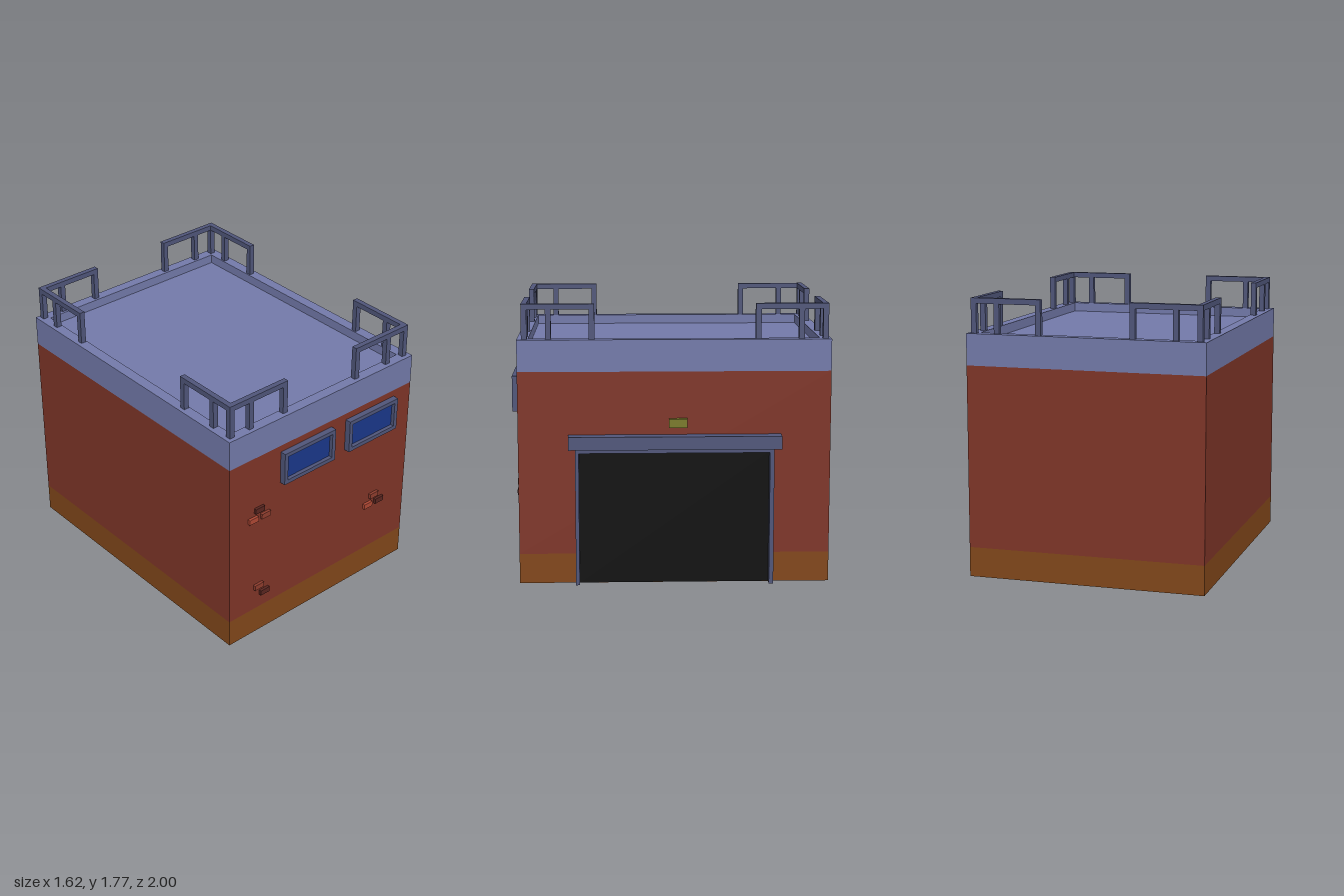
import * as THREE from 'three';

const mat = (color) => new THREE.MeshStandardMaterial({ color });
const M = {
  wall: mat(0x7f3528), base: mat(0x82471a), roof: mat(0x737aaa), trim: mat(0x50567a),
  glass: mat(0x1a378a), door: mat(0x0e0e0e), lamp: mat(0x7b7b2a),
  brickBright: mat(0xb04834), brickMid: mat(0x8f3d2e), brickDark: mat(0x5a2620),
};

// Box given by its minimum and maximum corners
function box(parent, name, material, [x0, y0, z0], [x1, y1, z1]) {
  const mesh = new THREE.Mesh(new THREE.BoxGeometry(x1 - x0, y1 - y0, z1 - z0), material);
  mesh.position.set((x0 + x1) / 2, (y0 + y1) / 2, (z0 + z1) / 2);
  mesh.name = name;
  parent.add(mesh);
  return mesh;
}

function rect(Type, x0, y0, x1, y1) {
  return new Type([[x0, y0], [x1, y0], [x1, y1], [x0, y1]].map((p) => new THREE.Vector2(...p)));
}

// Rectangular frame with an opening, extruded along +z
function frame(parent, name, material, outer, inner, depth) {
  const shape = rect(THREE.Shape, ...outer);
  shape.holes.push(rect(THREE.Path, ...inner));
  const mesh = new THREE.Mesh(new THREE.ExtrudeGeometry(shape, { depth, bevelEnabled: false }), material);
  mesh.name = name;
  parent.add(mesh);
  return mesh;
}

function group(parent, name) {
  const g = new THREE.Group();
  g.name = name;
  parent.add(g);
  return g;
}

export function createModel() {
  const model = new THREE.Group();
  model.name = 'garage';
  const X0 = -0.81, X1 = 0.72, Z0 = -1, Z1 = 0.96;

  // Building body
  box(model, 'base', M.base, [X0, 0, Z0], [X1, 0.19, Z1]);
  box(model, 'walls', M.wall, [X0, 0.19, Z0], [X1, 1.35, Z1]);

  // Parapet ring and sunken roof
  const parapet = frame(model, 'parapet', M.roof, [X0, -Z1, X1, -Z0], [X0 + 0.07, -Z1 + 0.07, X1 - 0.07, -Z0 - 0.07], 0.2);
  parapet.rotation.x = -Math.PI / 2;
  parapet.position.y = 1.35;
  box(model, 'roof', M.roof, [X0 + 0.07, 1.35, Z0 + 0.07], [X1 - 0.07, 1.49, Z1 - 0.07]);

  // Corner railings: an L of two bars on five posts at each corner
  const t = 0.035, len = 0.455, top = 1.77;
  for (const sx of [-1, 1]) for (const sz of [-1, 1]) {
    const rail = group(model, 'cornerRailing');
    // a, b: distances inward from the corner along x and z
    const part = (name, a0, a1, b0, b1, y0, y1) => {
      const xs = [-0.045 + sx * (0.738 - a0), -0.045 + sx * (0.738 - a1)].sort((p, q) => p - q);
      const zs = [-0.025 + sz * (0.957 - b0), -0.025 + sz * (0.957 - b1)].sort((p, q) => p - q);
      box(rail, name, M.trim, [xs[0], y0, zs[0]], [xs[1], y1, zs[1]]);
    };
    part('railBar', 0, len, 0, t, top - t, top);
    part('railBar', 0, t, t, len, top - t, top);
    part('railPost', 0, t, 0, t, 1.55, top - t);
    for (const d of [0.15, len - t]) {
      part('railPost', d, d + t, 0, t, 1.55, top - t);
      part('railPost', 0, t, d, d + t, 1.55, top - t);
    }
  }

  // Front windows
  for (const x of [-0.4, 0.147]) {
    const win = group(model, 'window');
    frame(win, 'windowFrame', M.trim, [x, 1.08, x + 0.425, 1.305], [x + 0.027, 1.107, x + 0.398, 1.278], 0.04).position.z = Z1;
    box(win, 'windowGlass', M.glass, [x + 0.027, 1.107, Z1 - 0.01], [x + 0.398, 1.278, Z1 + 0.015]);
  }

  // Raised bricks on the front
  const bricks = group(model, 'bricks');
  for (const [x, y, m] of [
    [-0.575, 0.963, M.brickDark], [-0.625, 0.903, M.brickBright], [-0.525, 0.903, M.brickMid],
    [0.43, 0.603, M.brickMid], [0.38, 0.543, M.brickBright], [0.48, 0.543, M.brickDark],
    [-0.575, 0.367, M.brickMid], [-0.525, 0.303, M.brickDark],
  ]) box(bricks, 'brick', m, [x - 0.036, y - 0.018, Z1 - 0.01], [x + 0.036, y + 0.018, Z1 + 0.018]);

  // Garage door on the +x side
  const door = group(model, 'garageDoor');
  box(door, 'doorPanel', M.door, [X1 - 0.01, 0.002, -0.615], [X1 + 0.005, 0.845, 0.58]);
  box(door, 'doorPost', M.trim, [X1, 0, 0.58], [0.783, 0.87, 0.603]);
  box(door, 'doorPost', M.trim, [X1, 0, -0.643], [0.783, 0.87, -0.615]);
  box(door, 'doorHead', M.trim, [X1, 0.845, -0.615], [0.783, 0.87, 0.58]);
  box(door, 'lintel', M.trim, [X1, 0.87, -0.688], [0.81, 0.953, 0.645]);

  // Lamp above the door
  box(model, 'lamp', M.lamp, [X1, 1, -0.1], [0.757, 1.055, 0.015]);

  return model;
}
